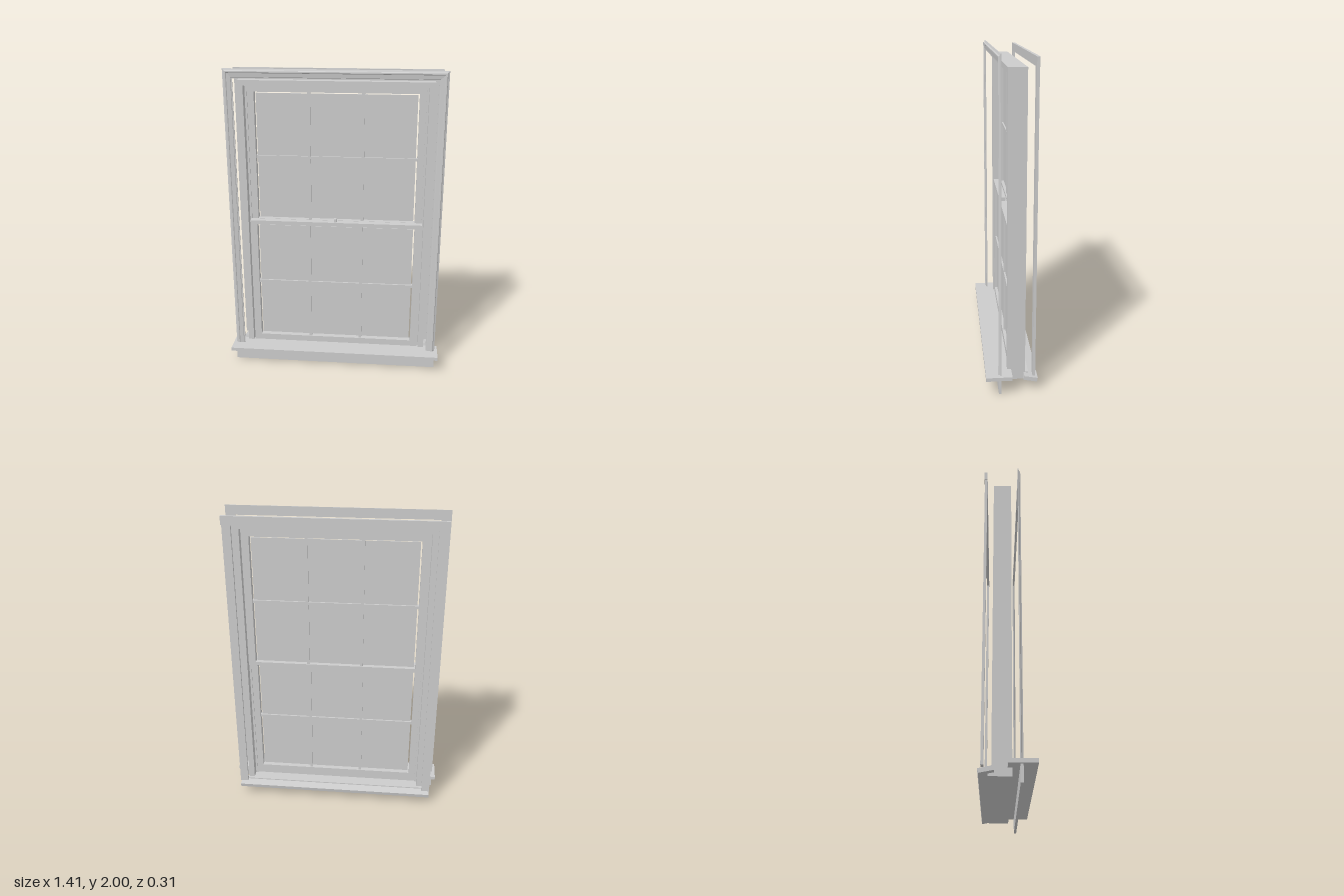
import * as THREE from 'three';

const material = new THREE.MeshStandardMaterial({ color: 0xcccccc, flatShading: true });

// Box given by its limits on each axis
function box(parent, name, [x0, x1], [y0, y1], [z0, z1]) {
  const mesh = new THREE.Mesh(new THREE.BoxGeometry(x1 - x0, y1 - y0, z1 - z0), material);
  mesh.position.set((x0 + x1) / 2, (y0 + y1) / 2, (z0 + z1) / 2);
  mesh.name = name;
  parent.add(mesh);
  return mesh;
}

// Pair of boxes mirrored in x
function pair(parent, name, [x0, x1], y, z) {
  box(parent, name + 'Left', [x0, x1], y, z);
  box(parent, name + 'Right', [-x1, -x0], y, z);
}

// Moulding swept up one side, across the top and down the other, with mitred corners
function mitredCasing(halfWidth, bottom, top, profile) {
  const stations = [[-1, false], [-1, true], [1, true], [1, false]];
  const point = (s, k) => {
    const [d, z] = profile[k % profile.length];
    const [side, up] = stations[s];
    return [side * (halfWidth - d), up ? top - d : bottom, z];
  };
  const positions = [];
  for (let s = 0; s < 3; s++) {
    for (let k = 0; k < profile.length; k++) {
      const a = point(s, k), b = point(s + 1, k), c = point(s + 1, k + 1), d = point(s, k + 1);
      positions.push(...a, ...d, ...c, ...a, ...c, ...b);
    }
  }
  const geometry = new THREE.BufferGeometry();
  geometry.setAttribute('position', new THREE.Float32BufferAttribute(positions, 3));
  geometry.computeVertexNormals();
  return new THREE.Mesh(geometry, material);
}

// Sash: stiles, rails, muntins and a pane slightly smaller than its opening
function createSash(name, [y0, y1], [open0, open1], [pane0, pane1], muntinY, [z0, z1]) {
  const sash = new THREE.Group();
  sash.name = name;
  const z = [z0, z1], mid = (z0 + z1) / 2;
  pair(sash, 'stile', [0.518, 0.565], [y0, y1], z);
  box(sash, 'bottomRail', [-0.518, 0.518], [y0, open0], z);
  box(sash, 'topRail', [-0.518, 0.518], [open1, y1], z);
  box(sash, 'glass', [-0.509, 0.509], [pane0, pane1], [mid - 0.003, mid + 0.003]);
  const bar = [mid - 0.014, mid + 0.014];
  pair(sash, 'verticalMuntin', [0.163, 0.181], [open0, open1], bar);
  box(sash, 'horizontalMuntin', [-0.518, 0.518], [muntinY - 0.009, muntinY + 0.009], bar);
  return sash;
}

export function createModel() {
  const model = new THREE.Group();
  model.name = 'window';

  // Interior trim
  const casing = mitredCasing(0.685, 0.12, 2, [
    [0, 0.064], [0, 0.068], [0.01, 0.073], [0.014, 0.08], [0.022, 0.08],
    [0.026, 0.076], [0.05, 0.073], [0.053, 0.07], [0.06, 0.07], [0.06, 0.064],
  ]);
  casing.name = 'interiorCasing';
  model.add(casing);
  box(model, 'stool', [-0.704, 0.704], [0.098, 0.121], [0, 0.157]);
  box(model, 'apron', [-0.685, 0.685], [0, 0.098], [0.064, 0.08]);

  // Frame
  pair(model, 'jamb', [0.573, 0.61], [0.095, 1.925], [-0.085, 0.024]);
  box(model, 'headJamb', [-0.573, 0.573], [1.893, 1.925], [-0.085, 0.024]);
  box(model, 'frameSill', [-0.61, 0.61], [0.052, 0.098], [-0.105, 0.024]);

  // Thin liners closing the gap between sashes and jambs
  pair(model, 'jambLiner', [0.56, 0.574], [0.098, 1.893], [-0.033, -0.027]);

  // Sashes: the upper one sits behind the lower one
  model.add(createSash('upperSash', [0.985, 1.893], [1.008, 1.846], [1.014, 1.837], 1.428, [-0.075, -0.033]));
  model.add(createSash('lowerSash', [0.098, 1.008], [0.163, 0.982], [0.173, 0.974], 0.568, [-0.027, 0.015]));
  box(model, 'meetingRailCap', [-0.56, 0.56], [0.984, 1.009], [-0.027, 0.018]);
  box(model, 'sashLock', [-0.009, 0.009], [1.008, 1.031], [-0.02, 0.01]);

  // Exterior trim
  pair(model, 'exteriorCasing', [0.607, 0.66], [0.1, 1.93], [-0.141, -0.125]);
  box(model, 'exteriorHeadCasing', [-0.665, 0.665], [1.93, 1.984], [-0.143, -0.125]);
  const sill = box(model, 'exteriorSill', [-0.658, 0.658], [0.064, 0.089], [-0.156, -0.073]);
  sill.rotation.x = -0.2;

  return model;
}
